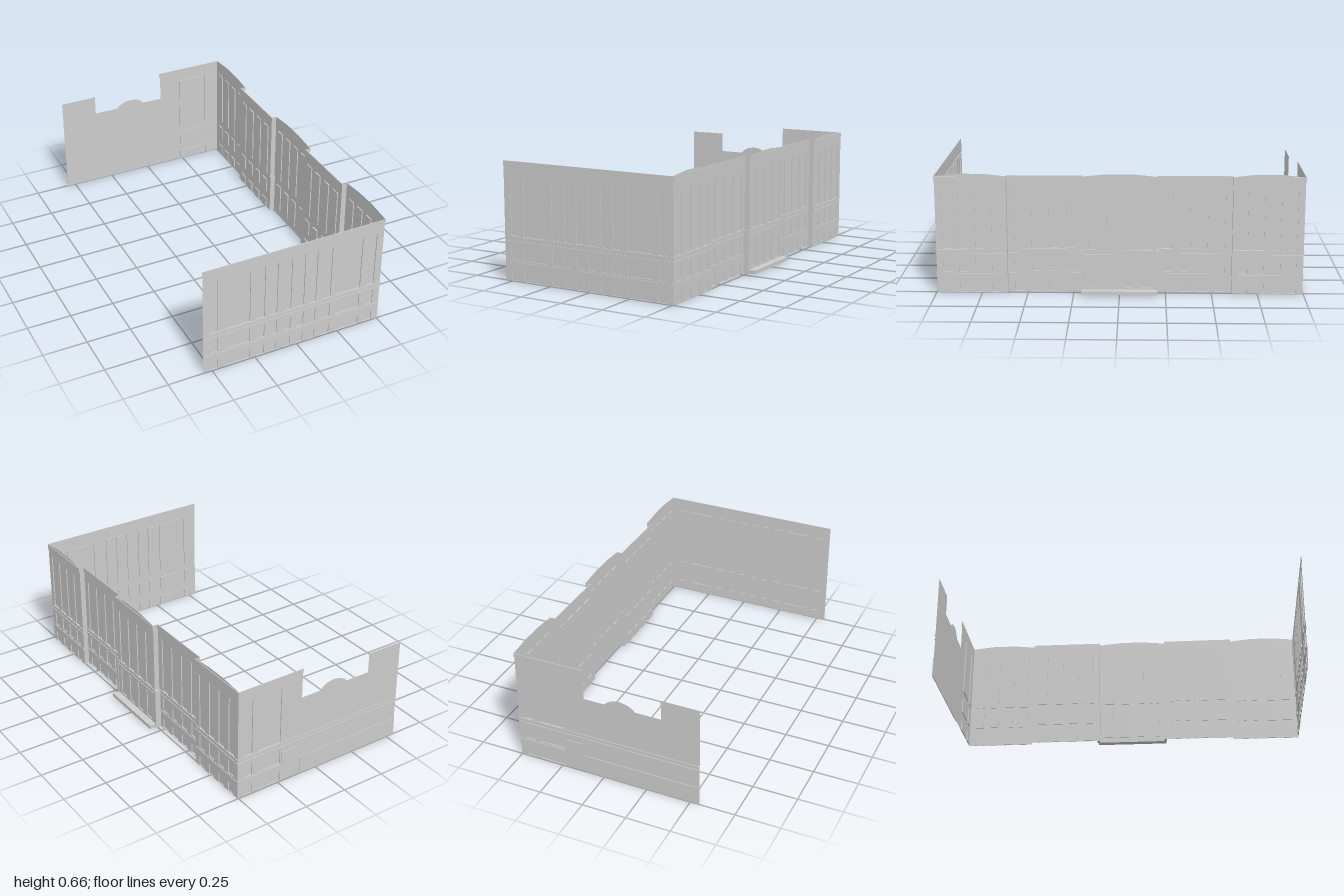
import * as THREE from 'three';
import { mergeGeometries } from 'three/addons/utils/BufferGeometryUtils.js';

const material = new THREE.MeshStandardMaterial({ color: 0xcccccc, side: THREE.DoubleSide, flatShading: true });
const RECESS = 0.006;
const PROUD = 0.004;
const ROWS = [[0.002, 0.06], [0.115, 0.2], [0.246, 0.573]];
const BANDS = [[0.1, 0.106], [0.215, 0.22], [0.238, 0.244], [0.625, 0.65]];

function mesh(name, geometry) {
  const m = new THREE.Mesh(geometry, material);
  m.name = name;
  return m;
}

function box(u0, u1, y0, y1, z0, z1) {
  return new THREE.BoxGeometry(u1 - u0, y1 - y0, z1 - z0)
    .translate((u0 + u1) / 2, (y0 + y1) / 2, (z0 + z1) / 2);
}

// Open-fronted tray: a sunk panel with its four reveals
function tray([u0, u1, y0, y1]) {
  const g = box(u0, u1, y0, y1, -RECESS, 0);
  const index = Array.from(g.index.array);
  index.splice(24, 6);
  g.setIndex(index);
  g.clearGroups();
  return g;
}

// Wall sheet with sunk panels and raised bands; local u runs along it, z points outward
function makeWall(name, outline, panels, bands) {
  const group = new THREE.Group();
  group.name = name;
  const shape = new THREE.Shape(outline.map(([u, y]) => new THREE.Vector2(u, y)));
  for (const [u0, u1, y0, y1] of panels) {
    shape.holes.push(new THREE.Path([
      new THREE.Vector2(u0, y0), new THREE.Vector2(u0, y1),
      new THREE.Vector2(u1, y1), new THREE.Vector2(u1, y0)]));
  }
  group.add(mesh(name + 'Sheet', new THREE.ShapeGeometry(shape)));
  if (panels.length) group.add(mesh(name + 'Panels', mergeGeometries(panels.map(tray))));
  if (bands.length) {
    group.add(mesh(name + 'Bands', mergeGeometries(
      bands.map(([u0, u1, y0, y1]) => box(u0, u1, y0, y1, 0, PROUD)))));
  }
  return group;
}

const grid = (columns, rows) => columns.flatMap(([a, b]) => rows.map(([c, d]) => [a, b, c, d]));

// Evenly spaced columns between two ends
function evenColumns(u0, u1, count, fill) {
  const step = (u1 - u0) / count;
  return Array.from({ length: count }, (_, i) => {
    const c = u0 + step * (i + 0.5);
    return [c - step * fill / 2, c + step * fill / 2];
  });
}

export function createModel() {
  const model = new THREE.Group();
  model.name = 'facade';

  // Front wall with narrow and broad panels
  const columns = [[-0.51, -0.465], [-0.425, -0.28], [-0.24, -0.195], [-0.155, -0.122], [-0.083, -0.04],
    [-0.005, 0.037], [0.07, 0.11], [0.148, 0.198], [0.235, 0.38], [0.415, 0.465]];
  const front = makeWall('frontWall',
    [[-0.55, 0], [0.505, 0], [0.505, 0.65], [-0.55, 0.65]],
    grid(columns, ROWS), BANDS.map(([a, b]) => [-0.55, 0.505, a, b]));
  front.position.z = 1 - PROUD;
  model.add(front);

  // Long side wall: three projecting bays, two set-back bays between them
  const side = new THREE.Group();
  side.name = 'sideWall';
  side.rotation.y = Math.PI / 2;
  const bays = [
    { name: 'frontBay', u0: -0.996, u1: -0.61, x: 0.505 },
    { name: 'frontSetBack', u0: -0.61, u1: -0.2, x: 0.475 },
    { name: 'centreBay', u0: -0.2, u1: 0.2, x: 0.505 },
    { name: 'rearSetBack', u0: 0.2, u1: 0.61, x: 0.475 },
    { name: 'rearBay', u0: 0.61, u1: 0.996, x: 0.505 }];
  for (const { name, u0, u1, x } of bays) {
    const raised = x > 0.5;
    const w = u1 - u0;
    const outline = [[u0, 0], [u1, 0], [u1, 0.65]];
    // Low segmental crown over the projecting bays
    if (raised) {
      outline.push([u1 - w * 0.1, 0.655], [u1 - w * 0.33, 0.664],
        [u0 + w * 0.33, 0.664], [u0 + w * 0.1, 0.655]);
    }
    outline.push([u0, 0.65]);
    const centre = name === 'centreBay';
    const cols = evenColumns(u0 + 0.015, u1 - 0.015, 4, 0.55);
    const panels = centre
      ? [...grid(cols, [ROWS[2]]), ...grid(cols, [[0.03, 0.2]])]
      : grid(cols, ROWS);
    const bands = BANDS.slice(centre ? 1 : 0).map(([a, b]) => [u0, u1, a, b]);
    const wall = makeWall(name, outline, panels, bands);
    wall.position.z = x;
    side.add(wall);
  }
  // Short returns joining the bays
  for (const u of [-0.61, -0.2, 0.2, 0.61]) {
    const g = new THREE.PlaneGeometry(0.03, 0.65).rotateY(Math.PI / 2).translate(u, 0.325, 0.49);
    side.add(mesh('bayReturn', g));
  }
  // Base piers flanking the centre bay
  for (const s of [-1, 1]) {
    side.add(mesh('basePier', box(s * 0.2025 - 0.0075, s * 0.2025 + 0.0075, 0, 0.238, 0.475, 0.508)));
  }
  // Entrance step
  side.add(mesh('entranceStep', mergeGeometries([
    box(-0.165, 0.165, 0, 0.012, 0.505, 0.545),
    box(-0.205, 0.205, 0.012, 0.02, 0.505, 0.545),
    box(-0.205, -0.165, 0, 0.012, 0.505, 0.545),
    box(0.165, 0.205, 0, 0.012, 0.505, 0.545)])));
  model.add(side);

  // Back wall with a stepped, broken skyline
  const back = makeWall('backWall',
    [[-0.505, 0], [0.55, 0], [0.55, 0.59], [0.335, 0.59], [0.335, 0.475], [0.19, 0.475], [0.175, 0.492],
      [0.14, 0.508], [0.1, 0.515], [0.06, 0.508], [0.03, 0.492], [0.015, 0.475],
      [-0.105, 0.475], [-0.105, 0.65], [-0.505, 0.65]],
    grid([[-0.465, -0.415], [-0.38, -0.235]], ROWS),
    [...BANDS.slice(0, 3).map(([a, b]) => [-0.505, 0.55, a, b]),
      [-0.505, -0.105, 0.625, 0.65],
      [-0.225, -0.115, 0.106, 0.18],
      [-0.105, 0.55, 0, 0.1]]);
  back.rotation.y = Math.PI;
  back.position.z = -(1 - PROUD);
  model.add(back);

  return model;
}
